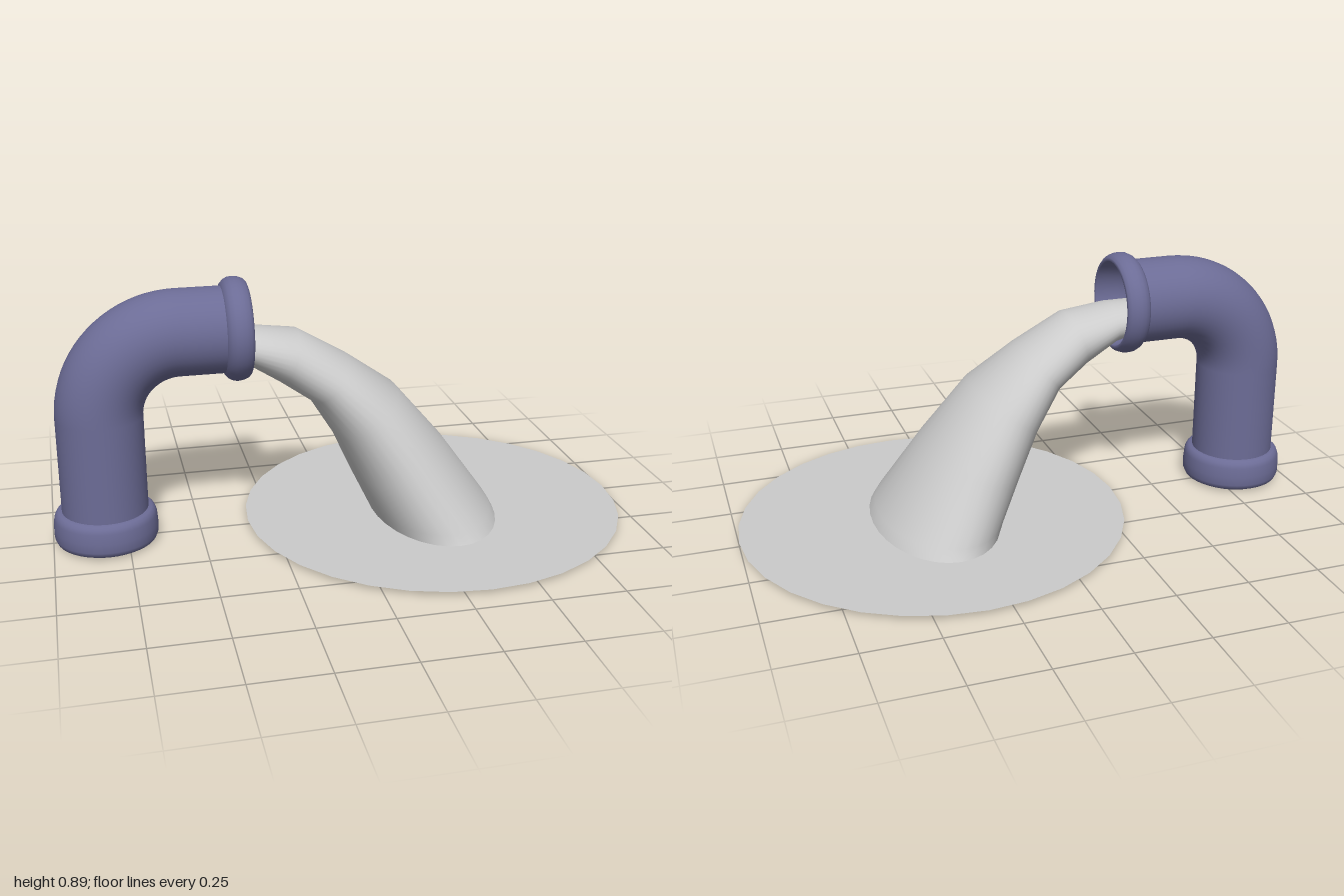
import * as THREE from 'three';

const PIPE_R = 0.145, BEND_R = 0.27, PIPE_X = -0.82, PIPE_Y = 0.72, SEG = 40;

// Surface through elliptical rings: [topX, topY, bottomX, bottomY, halfWidth]
function loft(rings, n) {
  const pos = [], idx = [];
  rings.forEach(([tx, ty, bx, by, w], r) => {
    for (let i = 0; i < n; i++) {
      const a = (i / n) * Math.PI * 2, c = Math.cos(a) / 2;
      pos.push((tx + bx) / 2 + (tx - bx) * c, (ty + by) / 2 + (ty - by) * c, w * Math.sin(a));
      if (r === 0) continue;
      const j = (i + 1) % n, p = (r - 1) * n, q = r * n;
      idx.push(p + i, q + i, p + j, p + j, q + i, q + j);
    }
  });
  const g = new THREE.BufferGeometry();
  g.setAttribute('position', new THREE.Float32BufferAttribute(pos, 3));
  g.setIndex(idx);
  g.computeVertexNormals();
  return g;
}

export function createModel() {
  const model = new THREE.Group();
  const purple = new THREE.MeshStandardMaterial({ color: 0x6c6c96, side: THREE.DoubleSide });
  const black = new THREE.MeshStandardMaterial({ color: 0x0a0a0a });
  const grey = new THREE.MeshStandardMaterial({ color: 0xcccccc, side: THREE.DoubleSide });

  const add = (name, geo, mat, x, y, rz = 0) => {
    const m = new THREE.Mesh(geo, mat);
    m.name = name;
    m.position.set(x, y, 0);
    m.rotation.z = rz;
    model.add(m);
    return m;
  };
  const lathe = (pts) => new THREE.LatheGeometry(pts.map(([r, h]) => new THREE.Vector2(r, h)), SEG);
  const tube = (len) => new THREE.CylinderGeometry(PIPE_R, PIPE_R, len, SEG, 1, true);

  // Pipe: upright, quarter bend, level run
  add('uprightPipe', tube(0.40), purple, PIPE_X, 0.25);
  add('pipeBend', new THREE.TorusGeometry(BEND_R, PIPE_R, SEG, 20, Math.PI / 2), purple,
    PIPE_X + BEND_R, PIPE_Y - BEND_R, Math.PI / 2);
  add('levelPipe', tube(0.17), purple, -0.465, PIPE_Y, Math.PI / 2);

  // Closed collar at the foot
  add('footCollar', lathe([
    [0, 0.003], [0.12, 0.004], [0.155, 0.006], [0.168, 0.013], [0.175, 0.03], [0.175, 0.06],
    [0.172, 0.095], [0.166, 0.11], [0.157, 0.118], [0.143, 0.121],
  ]), purple, PIPE_X, 0);

  // Rounded lip of the mouth, folding back into a funnel
  add('mouthCollar', lathe([
    [0.143, -0.088], [0.154, -0.084], [0.165, -0.074], [0.172, -0.06], [0.174, -0.045],
    [0.172, -0.028], [0.166, -0.012], [0.157, -0.003], [0.149, 0], [0.145, -0.005],
    [0.142, -0.04], [0.132, -0.08], [0.12, -0.105], [0.105, -0.12],
  ]), purple, -0.316, PIPE_Y, -Math.PI / 2);
  add('darkBore', new THREE.CircleGeometry(0.106, SEG), black, -0.436, PIPE_Y).rotation.y = Math.PI / 2;

  // Water pouring out and widening towards the ground
  add('waterStream', loft([
    [-0.43, 0.725, -0.43, 0.625, 0.095],
    [-0.31, 0.725, -0.31, 0.59, 0.11],
    [-0.15, 0.705, -0.21, 0.525, 0.13],
    [0.02, 0.605, -0.11, 0.455, 0.165],
    [0.19, 0.485, -0.03, 0.325, 0.22],
    [0.36, 0.285, 0.04, 0.17, 0.275],
    [0.525, 0.055, 0.10, 0.045, 0.34],
    [0.547, 0.013, 0.115, 0.013, 0.36],
  ], 32), grey, 0, 0);

  // Flat puddle with a small hole in the middle
  add('puddle', new THREE.RingGeometry(0.058, 0.667, 32), grey, 0.333, 0.016).rotation.x = -Math.PI / 2;

  return model;
}
